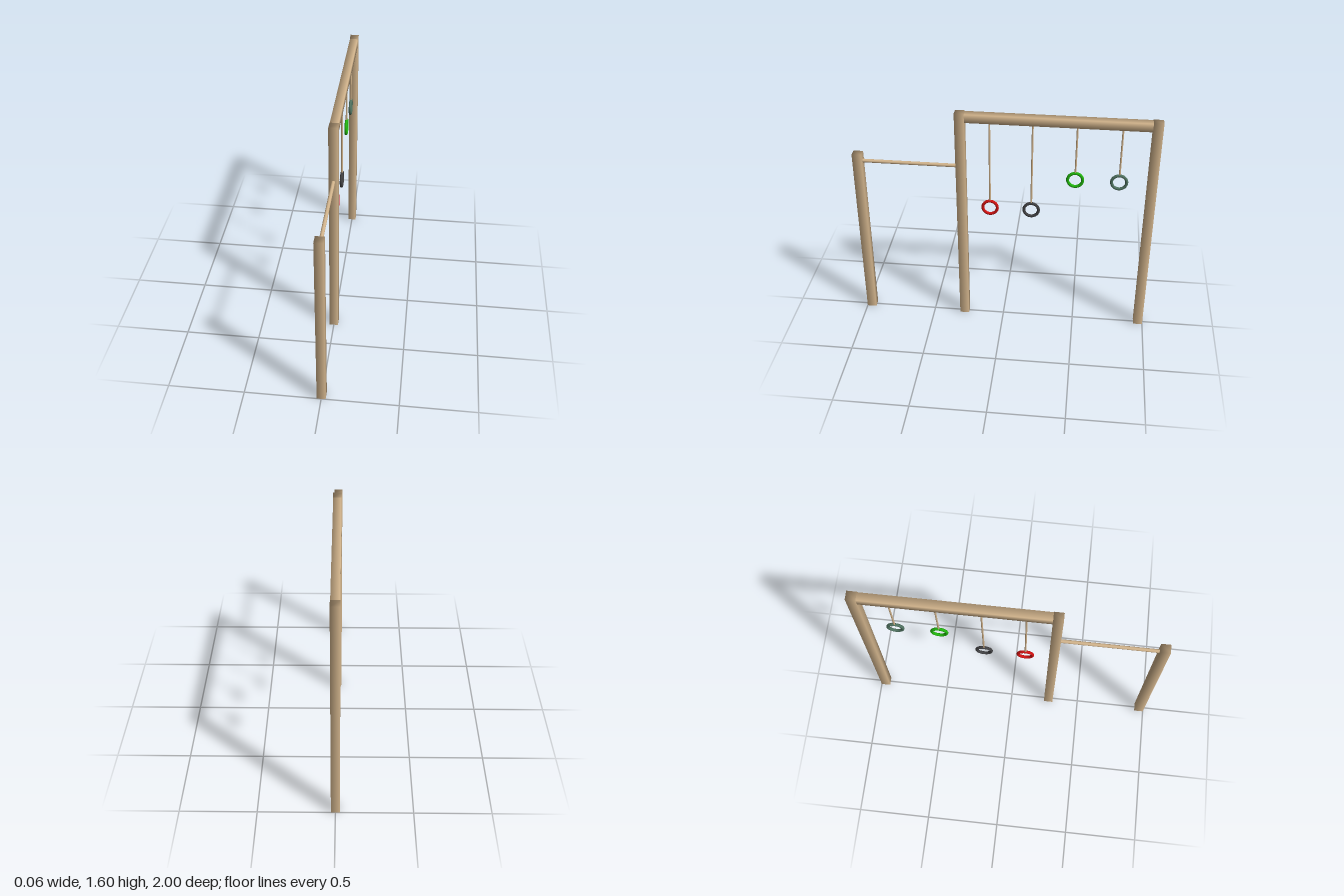
import * as THREE from 'three';
import { mergeVertices } from 'three/addons/utils/BufferGeometryUtils.js';

const mat = (name, color) => {
  const m = new THREE.MeshStandardMaterial({ color });
  m.name = name;
  return m;
};

// Box whose corners share normals, giving soft timber shading
function softBox(w, h, d) {
  const g = new THREE.BoxGeometry(w, h, d);
  g.deleteAttribute('normal');
  g.deleteAttribute('uv');
  const soft = mergeVertices(g);
  soft.computeVertexNormals();
  return soft;
}

export function createModel() {
  const model = new THREE.Group();
  model.name = 'swingFrame';
  const wood = mat('wood', 0xd2b48c);

  const add = (name, geometry, material, y, z) => {
    const mesh = new THREE.Mesh(geometry, material);
    mesh.name = name;
    mesh.position.set(0, y, z);
    model.add(mesh);
    return mesh;
  };

  // Upright posts
  const posts = [['frontPost', 1.266, 0.968], ['middlePost', 1.6, 0.28], ['backPost', 1.6, -0.968]];
  for (const [name, height, z] of posts) {
    add(name, softBox(0.058, height, 0.064), wood, height / 2, z);
  }

  // Top beam and the lower pull-up bar
  add('topBeam', softBox(0.055, 0.058, 1.184), wood, 1.568, -0.344);
  const bar = add('pullUpBar', new THREE.CylinderGeometry(0.012, 0.012, 0.63, 16), wood, 1.21, 0.624);
  bar.rotation.x = Math.PI / 2;

  // Hanging rings, each with its rod
  const rings = [
    ['red', 0xd01010, 0.9, 0.09],
    ['charcoal', 0x404042, 0.9, -0.187],
    ['green', 0x1fb40c, 1.15, -0.47],
    ['greyGreen', 0x4f7260, 1.15, -0.755],
  ];
  for (const [name, color, y, z] of rings) {
    const bottom = y + 0.052, top = 1.55;
    add(name + 'RingRod', new THREE.CylinderGeometry(0.006, 0.006, top - bottom, 10), wood, (top + bottom) / 2, z);
    const ring = add(name + 'Ring', new THREE.TorusGeometry(0.049, 0.01, 12, 36), mat(name, color), y, z);
    ring.rotation.y = Math.PI / 2;
  }
  return model;
}
